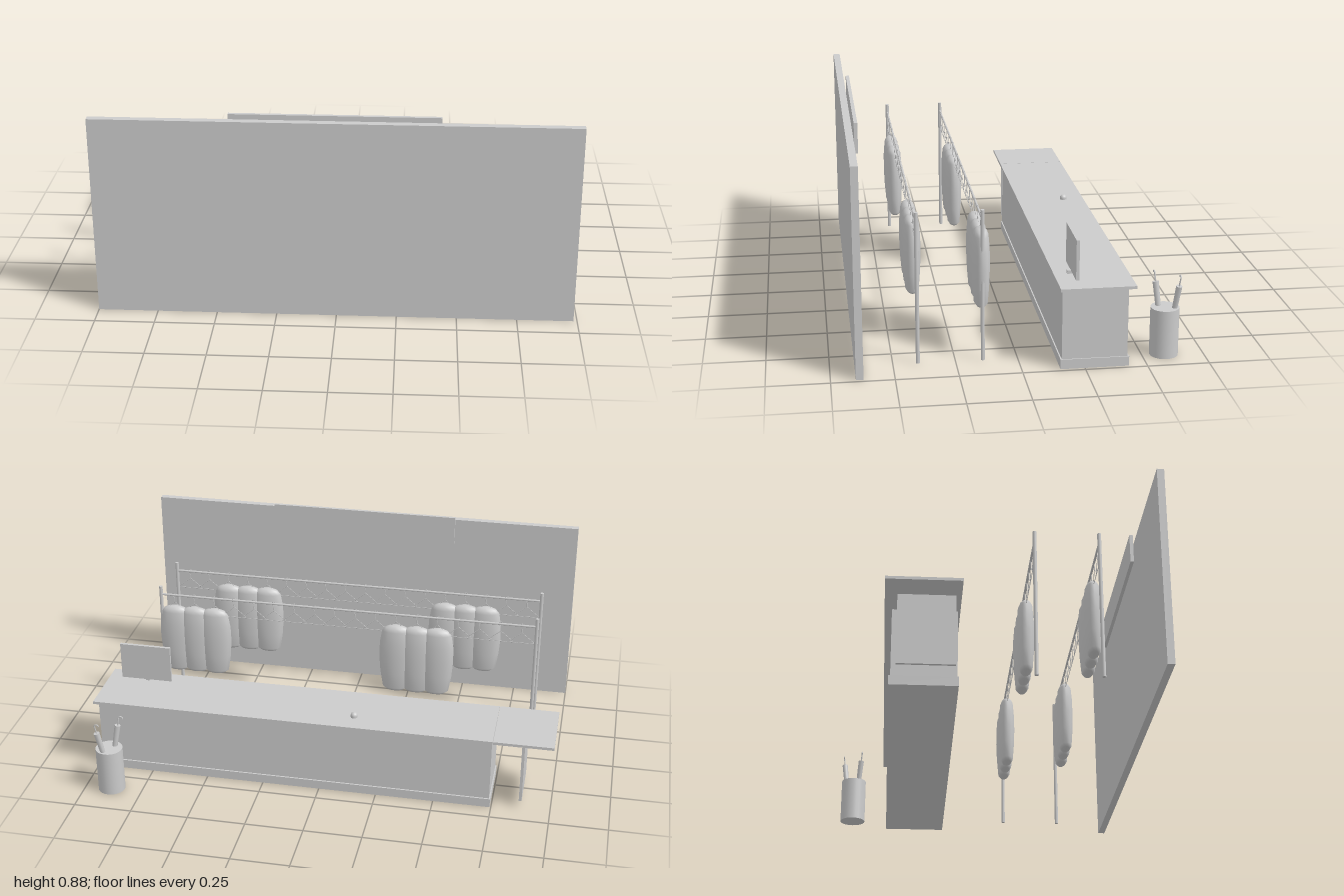
import * as THREE from 'three';

const mat = new THREE.MeshStandardMaterial({ color: 0xcccccc });
const thin = new THREE.MeshStandardMaterial({ color: 0xcccccc, side: THREE.DoubleSide });

function add(parent, name, geometry, x = 0, y = 0, z = 0, material = mat) {
  const m = new THREE.Mesh(geometry, material);
  m.name = name;
  m.position.set(x, y, z);
  parent.add(m);
  return m;
}

// Box given by its limits on each axis
function block(parent, name, [x0, x1], [y0, y1], [z0, z1]) {
  return add(parent, name, new THREE.BoxGeometry(x1 - x0, y1 - y0, z1 - z0),
    (x0 + x1) / 2, (y0 + y1) / 2, (z0 + z1) / 2);
}

function section(parent, name) {
  const g = new THREE.Group();
  g.name = name;
  parent.add(g);
  return g;
}

// Wire hanger: hook over the rail, sloping arms and a lower bar, origin on the rail
function hangerGeometries() {
  const hook = new THREE.CatmullRomCurve3([
    [-0.008, 0.002], [-0.004, 0.009], [0.004, 0.009], [0.008, 0.001], [0.002, -0.014], [0, -0.035],
  ].map(([x, y]) => new THREE.Vector3(x, y, 0)));
  const arms = new THREE.CurvePath();
  const corners = [[0, -0.035], [0.06, -0.085], [-0.06, -0.085], [0, -0.035]]
    .map(([x, y]) => new THREE.Vector3(x, y, 0));
  for (let i = 0; i < 3; i++) arms.add(new THREE.LineCurve3(corners[i], corners[i + 1]));
  return [new THREE.TubeGeometry(hook, 10, 0.0015, 4), new THREE.TubeGeometry(arms, 24, 0.0015, 4)];
}

// Hanging coat: soft-shouldered profile, flattened to be wider along the rail
function coatGeometry() {
  const profile = [[0, 0.21], [0.019, 0.212], [0.028, 0.226], [0.034, 0.3], [0.037, 0.38],
    [0.036, 0.45], [0.031, 0.51], [0.024, 0.527], [0.013, 0.536], [0, 0.538]]
    .map(([r, y]) => new THREE.Vector2(r, y));
  const g = new THREE.LatheGeometry(profile, 12, Math.PI / 2);
  g.scale(2.03, 1, 1);
  return g;
}

function coatRack(parent, z, coatStarts) {
  const rack = section(parent, 'coatRack');
  const [x0, x1, railY, count] = [-0.866, 0.852, 0.59, 18];
  for (const x of [x0, x1])
    add(rack, 'rackPost', new THREE.CylinderGeometry(0.008, 0.008, 0.63, 12), x, 0.315, z);
  const rail = new THREE.CylinderGeometry(0.005, 0.005, x1 - x0, 10);
  rail.rotateZ(Math.PI / 2);
  add(rack, 'rackRail', rail, (x0 + x1) / 2, railY, z);

  const hanger = hangerGeometries();
  const coat = coatGeometry();
  for (let i = 0; i < count; i++) {
    const x = -0.802 + i * 0.0936;
    add(rack, 'hangerHook', hanger[0], x, railY, z);
    add(rack, 'hangerArms', hanger[1], x, railY, z);
    if (coatStarts.some((s) => i >= s && i < s + 3)) add(rack, 'coat', coat, x, 0, z);
  }
}

// Closed umbrella leaning in the stand, origin at its foot
function umbrella(parent, foot, top) {
  const g = section(parent, 'umbrella');
  const a = new THREE.Vector3(...foot);
  const dir = new THREE.Vector3(...top).sub(a);
  const len = dir.length();
  g.position.copy(a);
  g.quaternion.setFromUnitVectors(new THREE.Vector3(0, 1, 0), dir.normalize());
  add(g, 'umbrellaCanopy', new THREE.CylinderGeometry(0.013, 0.009, len, 10), 0, len / 2, 0);
  add(g, 'umbrellaShaft', new THREE.CylinderGeometry(0.003, 0.003, 0.035, 8), 0, len + 0.0175, 0);
  add(g, 'umbrellaHandle', new THREE.TorusGeometry(0.009, 0.003, 6, 12, Math.PI),
    -0.009, len + 0.034, 0);
}

export function createModel() {
  const model = new THREE.Group();
  model.name = 'cloakroom';

  // Wall and the long sign board behind it
  block(model, 'wall', [-1, 0.985], [0, 0.862], [0.622, 0.652]);
  block(model, 'signBoard', [-0.435, 0.42], [0.75, 0.88], [0.598, 0.613]);

  // Two rails of hangers, each with two groups of coats
  coatRack(model, 0.4, [2, 13]);
  coatRack(model, 0.14, [4, 15]);

  // Counter with lifting flap and gate
  const counter = section(model, 'counter');
  block(counter, 'plinth', [-0.745, 0.985], [0, 0.04], [-0.427, -0.152]);
  block(counter, 'counterBody', [-0.74, 0.98], [0.04, 0.327], [-0.42, -0.157]);
  block(counter, 'counterTop', [-0.744, 0.995], [0.327, 0.339], [-0.449, -0.148]);
  block(counter, 'counterFlap', [-1, -0.746], [0.327, 0.339], [-0.449, -0.148]);
  block(counter, 'gate', [-0.877, -0.865], [0.03, 0.327], [-0.4, -0.17]);

  // Service bell
  add(counter, 'bell', new THREE.SphereGeometry(0.015, 16, 8, 0, Math.PI * 2, 0, Math.PI / 2),
    -0.142, 0.346, -0.357, thin);
  add(counter, 'bellBase', new THREE.CylinderGeometry(0.015, 0.015, 0.007, 16), -0.142, 0.3425, -0.357);

  // Screen on the counter with its small foot
  block(counter, 'screen', [0.706, 0.932], [0.35, 0.515], [-0.231, -0.218]);
  block(counter, 'screenFoot', [0.81, 0.826], [0.339, 0.353], [-0.222, -0.202]);

  // Umbrella stand
  const stand = section(model, 'umbrellaStand');
  add(stand, 'standBody', new THREE.CylinderGeometry(0.058, 0.058, 0.203, 24), 0.885, 0.1015, -0.59);
  umbrella(stand, [0.88, 0.08, -0.612], [0.917, 0.3, -0.637]);
  umbrella(stand, [0.885, 0.08, -0.578], [0.85, 0.3, -0.557]);

  return model;
}
